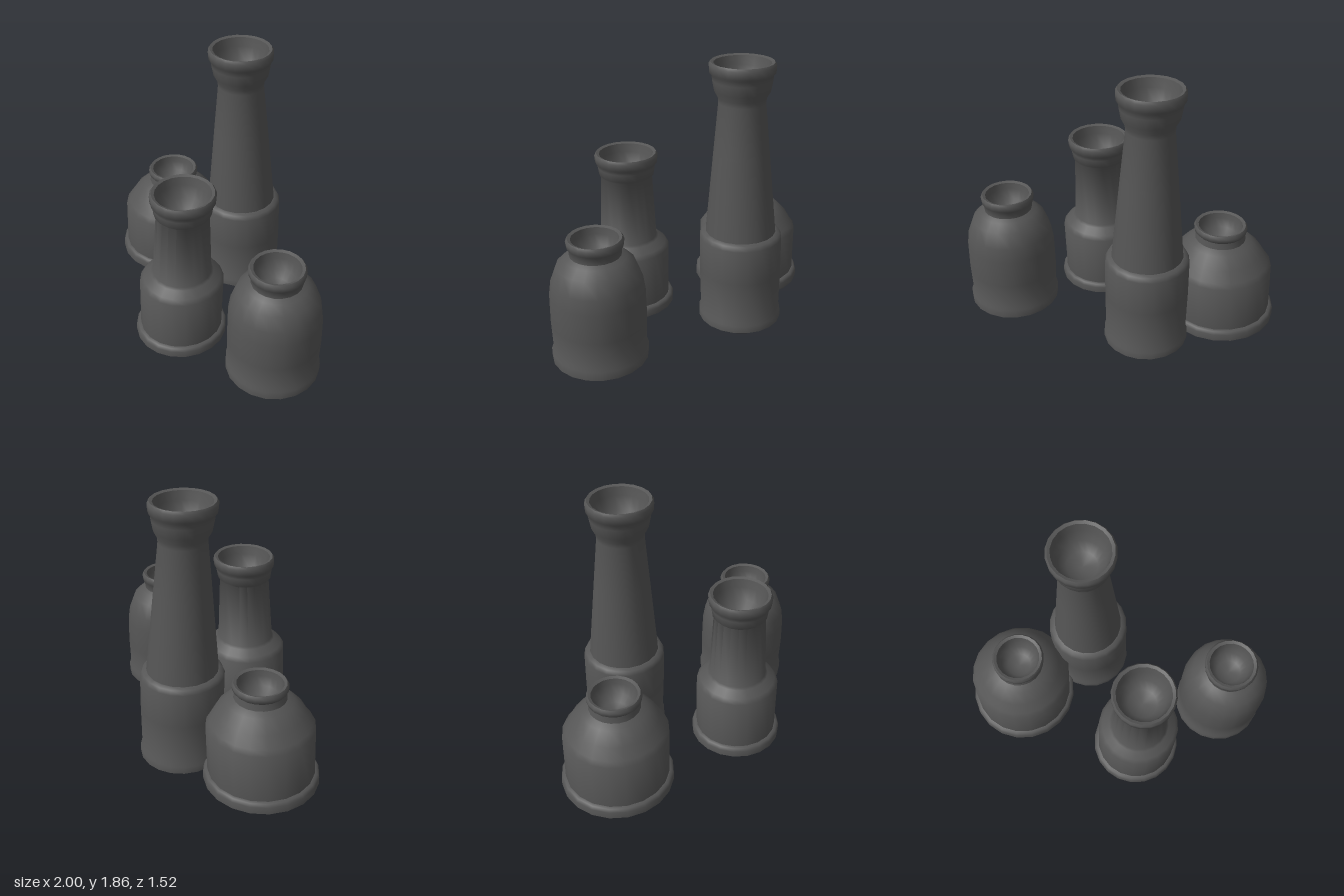
import * as THREE from 'three';
import { toCreasedNormals } from 'three/addons/utils/BufferGeometryUtils.js';

const SIDES = 20;

// Flat underside and rounded foot ring, ending where the wall begins
const foot = (r, top) => [
  [0, 0.012], [r - 0.025, 0.012], [r, 0.03], [r, top - 0.02], [r - 0.012, top],
];

// Rounded rim band, then the inside surface curving down to a bowl-shaped floor
const lip = (r, bottom, top, depth) => [
  [r - 0.018, bottom], [r - 0.004, bottom + 0.015], [r, top - 0.018], [r - 0.012, top],
  [r - 0.032, top - 0.008], [r * 0.8, top - depth * 0.3], [r * 0.68, top - depth * 0.68],
  [r * 0.45, top - depth * 0.92], [0, top - depth],
];

// Turn a [radius, height] profile, leaning each ring from the base centre to the rim centre
function buildVessel(name, material, base, rim, profile) {
  const lathe = new THREE.LatheGeometry(profile.map(([r, y]) => new THREE.Vector2(r, y)), SIDES);
  const pos = lathe.attributes.position;
  const height = Math.max(...profile.map((p) => p[1]));
  for (let i = 0; i < pos.count; i++) {
    const t = pos.getY(i) / height;
    pos.setX(i, pos.getX(i) + (rim[0] - base[0]) * t);
    pos.setZ(i, pos.getZ(i) + (rim[1] - base[1]) * t);
  }
  lathe.deleteAttribute('uv');

  const mesh = new THREE.Mesh(toCreasedNormals(lathe, 0.85), material);
  mesh.name = name;
  mesh.position.set(base[0], 0, base[1]);
  return mesh;
}

export function createModel() {
  const group = new THREE.Group();
  group.name = 'vesselSet';
  const clay = new THREE.MeshStandardMaterial({ color: 0x555555 });
  clay.name = 'dark grey clay';

  // Squat jar with a broad sloping shoulder
  group.add(buildVessel('wideJar', clay, [-0.61, -0.38], [-0.58, -0.38], [
    ...foot(0.39, 0.1),
    [0.36, 0.105], [0.36, 0.45], [0.335, 0.48], [0.29, 0.56], [0.22, 0.63], [0.175, 0.655],
    ...lip(0.185, 0.7, 0.76, 0.16),
  ]));

  // Tallest vase: straight drum, stepped tapering neck and flared collar
  group.add(buildVessel('tallVase', clay, [0.005, -0.41], [-0.02, -0.38], [
    ...foot(0.29, 0.1),
    [0.284, 0.4], [0.284, 0.65], [0.27, 0.68], [0.242, 0.69],
    [0.19, 1.25], [0.157, 1.6], [0.16, 1.635], [0.185, 1.68], [0.198, 1.75],
    ...lip(0.22, 1.785, 1.87, 0.23),
  ]));

  // Medium vase: drum, sloped shoulder, slim neck and collar
  group.add(buildVessel('neckedVase', clay, [-0.05, 0.415], [-0.01, 0.405], [
    ...foot(0.318, 0.095),
    [0.287, 0.1], [0.288, 0.48], [0.265, 0.51], [0.215, 0.55], [0.2, 0.565],
    [0.176, 1.03], [0.19, 1.045], [0.198, 1.1],
    ...lip(0.218, 1.12, 1.2, 0.22),
  ]));

  // Rounded jar with a short neck
  group.add(buildVessel('roundJar', clay, [0.68, 0.43], [0.685, 0.435], [
    ...foot(0.32, 0.11),
    [0.314, 0.3], [0.31, 0.5], [0.295, 0.6], [0.255, 0.705], [0.2, 0.755], [0.168, 0.775],
    ...lip(0.186, 0.82, 0.89, 0.18),
  ]));

  return group;
}
